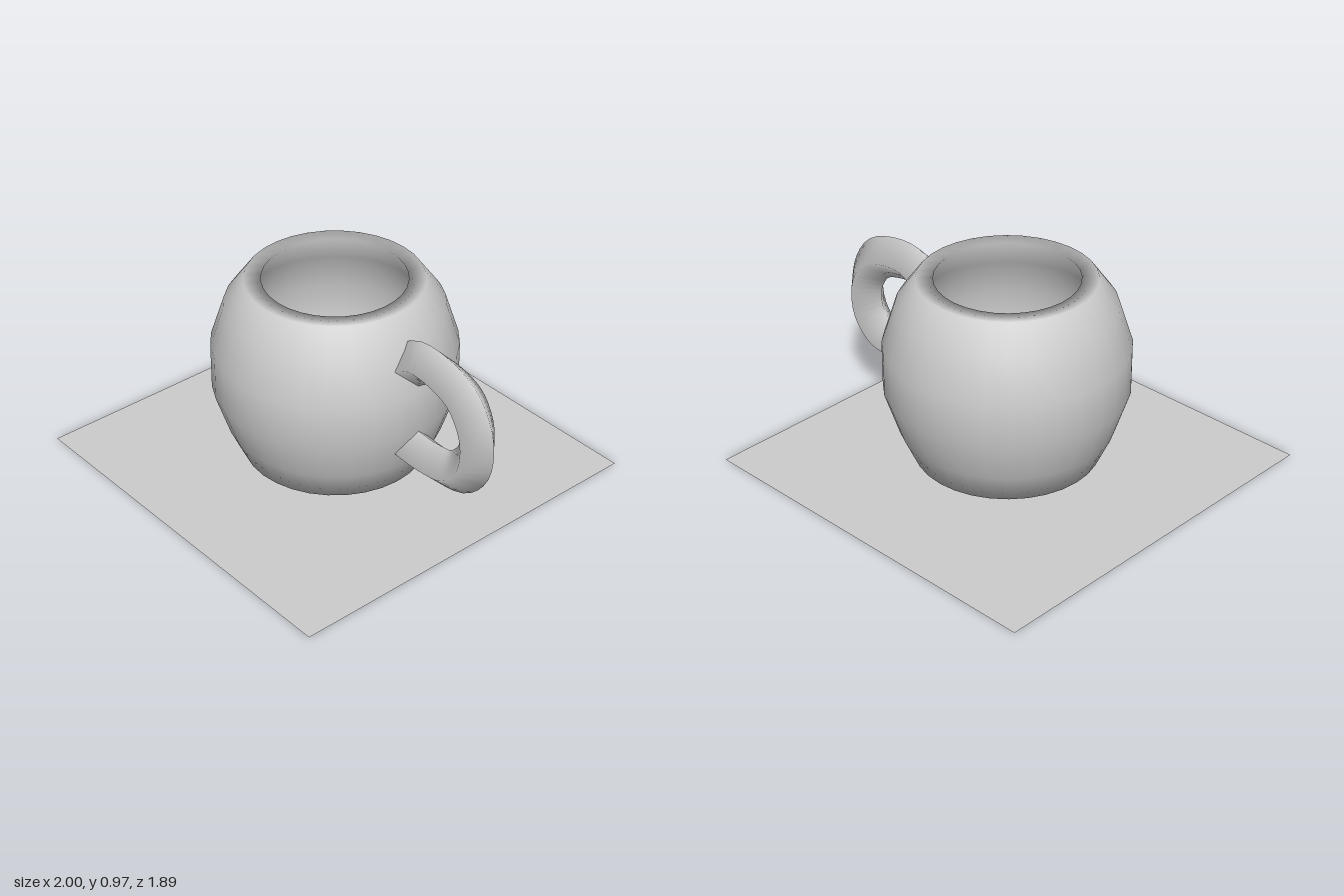
import * as THREE from 'three';

export function createModel() {
  const group = new THREE.Group();
  const material = new THREE.MeshStandardMaterial({ color: 0xcccccc, side: THREE.DoubleSide });
  const add = (name, geometry, x, y, z) => {
    const mesh = new THREE.Mesh(geometry, material);
    mesh.name = name;
    mesh.position.set(x, y, z);
    group.add(mesh);
    return mesh;
  };

  // Thin square ground sheet
  add('baseSheet', new THREE.PlaneGeometry(1.89, 1.89), -0.055, 0, 0).rotation.x = -Math.PI / 2;

  // Mug: underside, bulging outer wall, flat rim, then the hollow inside
  const profile = [
    [0, 0.065], [0.44, 0.065], [0.51, 0.22], [0.575, 0.42], [0.575, 0.64], [0.51, 0.84], [0.415, 0.97],
    [0.335, 0.97], [0.43, 0.82], [0.49, 0.63], [0.49, 0.43], [0.43, 0.25], [0.36, 0.15], [0, 0.14],
  ].map(([r, y]) => new THREE.Vector2(r, y));
  add('mugBody', new THREE.LatheGeometry(profile, 32), -0.055, 0, -0.01);

  // Handle: four-sided, smooth-shaded tube with its ends sunk in the wall
  const path = new THREE.CatmullRomCurve3([
    [0.45, 0.75], [0.54, 0.805], [0.66, 0.805], [0.8, 0.755], [0.875, 0.65], [0.893, 0.55],
    [0.87, 0.44], [0.78, 0.345], [0.66, 0.32], [0.54, 0.32], [0.44, 0.33],
  ].map(([x, y]) => new THREE.Vector3(x, y, 0)));
  add('handle', new THREE.TubeGeometry(path, 32, 0.104, 4), 0, 0, -0.01);

  return group;
}
